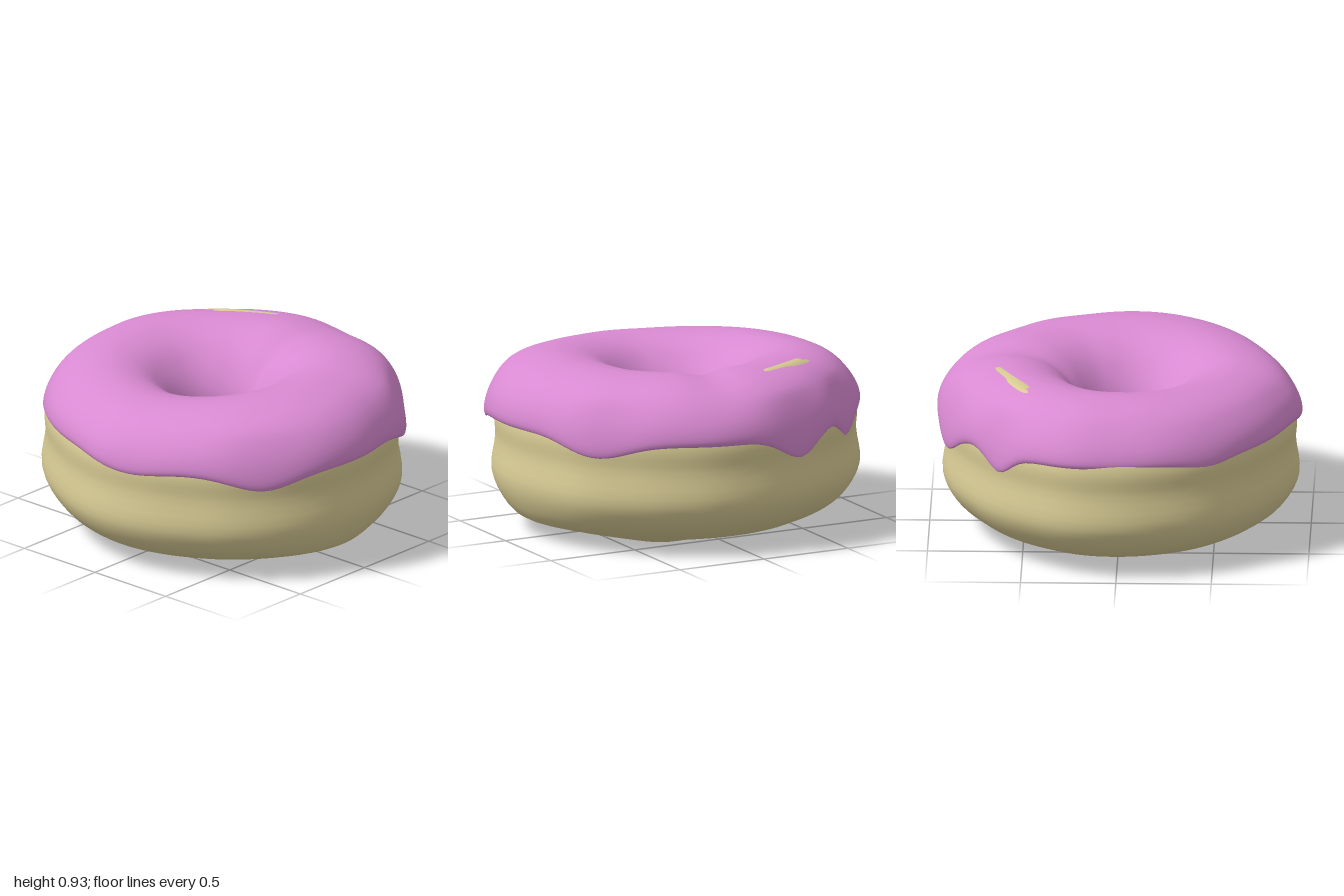
import * as THREE from 'three';

const SIDES = 144, STEPS = 64, HOLE = 0.2;
const rad = THREE.MathUtils.degToRad;
const clamp = THREE.MathUtils.clamp;

// Outer radius every 15 degrees, starting at +x and turning towards +z
const DOUGH_RADII = [
  0.955, 0.96, 0.955, 0.945, 0.93, 0.935, 0.942, 0.935, 0.93, 0.945, 0.97, 0.985,
  1.0, 1.0, 0.97, 0.95, 0.925, 0.93, 0.935, 0.94, 0.935, 0.935, 0.95, 0.945,
];
const ICING_RADII = [
  0.99, 1.0, 0.99, 0.975, 0.953, 0.95, 0.953, 0.922, 0.924, 0.938, 0.957, 0.965,
  0.97, 0.99, 0.972, 0.937, 0.944, 0.954, 0.96, 0.97, 0.96, 0.95, 0.973, 0.964,
];

// Smooth periodic lookup in a list of radii
function radiusAt(list, angle) {
  const n = list.length, f = (angle / (Math.PI * 2)) * n, i = Math.floor(f), t = f - i;
  const [a, b, c, d] = [-1, 0, 1, 2].map((k) => list[(i + k + n) % n]);
  return b + 0.5 * t * (c - a + t * (2 * a - 5 * b + 4 * c - d + t * (3 * (b - c) + d - a)));
}

// Bump around an angle, in degrees
function bump(angle, centre, width) {
  let d = angle - rad(centre);
  d = Math.atan2(Math.sin(d), Math.cos(d)) / rad(width);
  return Math.exp(-d * d);
}

// Uneven top: a gentle tilt, a shallow valley and a fuller shoulder on one side
function topOffset(angle, t) {
  return 0.025 * Math.cos(angle - rad(322)) + 0.008 * Math.sin(3 * angle + 0.5)
    - 0.025 * bump(angle, 280, 12) + 0.25 * t * t * (1 - t) * bump(angle, 195, 45);
}

// Dripping lower rim of the icing
function drip(angle) {
  return 0.075 * bump(angle, 35, 13) + 0.035 * bump(angle, 80, 14) + 0.03 * bump(angle, 150, 10)
    + 0.11 * bump(angle, 222, 8) + 0.12 * bump(angle, 253, 11) + 0.08 * bump(angle, 323, 14);
}

// Sweeps a profile of [t, y] (t: 0 = hole, 1 = outer edge) around the axis
function ring(profile, closed, radii, shape) {
  const curve = new THREE.CatmullRomCurve3(profile.map(([t, y]) => new THREE.Vector3(t, y, 0)), closed, 'centripetal');
  const samples = curve.getPoints(STEPS);
  if (closed) samples.pop();
  const rows = samples.length, pos = [], index = [];
  for (let i = 0; i < SIDES; i++) {
    const angle = (i / SIDES) * Math.PI * 2, outer = radiusAt(radii, angle);
    for (const s of samples) {
      const r = HOLE + (outer - HOLE) * s.x, shift = clamp(1 - s.x, 0, 1);
      const x = Math.cos(angle) * r - 0.01 * shift, z = Math.sin(angle) * r + 0.02 * shift;
      pos.push(x, shape(s.x, s.y, angle, x, z), z);
    }
  }
  for (let i = 0; i < SIDES; i++) {
    const a = i * rows, b = ((i + 1) % SIDES) * rows;
    for (let j = 0; j < (closed ? rows : rows - 1); j++) {
      const k = (j + 1) % rows;
      index.push(a + j, a + k, b + j, a + k, b + k, b + j);
    }
  }
  const geo = new THREE.BufferGeometry();
  geo.setAttribute('position', new THREE.Float32BufferAttribute(pos, 3));
  geo.setIndex(index);
  geo.computeVertexNormals();
  return geo;
}

function addMesh(group, name, geometry, color) {
  const mesh = new THREE.Mesh(geometry, new THREE.MeshStandardMaterial({ color, side: THREE.DoubleSide }));
  mesh.name = name;
  group.add(mesh);
}

export function createModel() {
  const group = new THREE.Group();
  group.name = 'doughnut';

  // Dough: funnel under the hole, bevelled base, slightly pinched wall, domed top
  const doughProfile = [
    [-0.01, 0.45], [0.05, 0.25], [0.17, 0.13], [0.37, 0.055], [0.57, 0.047], [0.75, 0.085],
    [0.91, 0.17], [0.995, 0.29], [0.97, 0.47], [0.975, 0.6],
    [0.9, 0.73], [0.7, 0.835], [0.45, 0.865], [0.22, 0.81], [0.07, 0.7], [0, 0.58],
  ];
  addMesh(group, 'dough', ring(doughProfile, true, DOUGH_RADII, (t, y, angle, x, z) => {
    // flattened crest showing through the icing
    const along = (x + 0.36) * 0.88 - (z + 0.58) * 0.47, across = (x + 0.36) * 0.47 + (z + 0.58) * 0.88;
    const crest = Math.min(0.053, 0.08 * Math.exp(-((along / 0.32) ** 2) - (across / 0.07) ** 2));
    // small lump under the base and a squarer lower corner on one side
    const lump = 0.05 * Math.exp(-(((x - 0.22) / 0.22) ** 2) - ((z + 0.38) / 0.13) ** 2);
    const corner = 0.045 * bump(angle, 0, 28) * clamp((t - 0.65) / 0.25, 0, 1);
    const high = clamp((y - 0.6) / 0.2, 0, 1), low = clamp((0.3 - y) / 0.15, 0, 1);
    return Math.max(0, y + high * (topOffset(angle, t) + crest) - low * (lump + corner));
  }), 0xd8cb94);

  // Icing: thin shell over the top with a rim tucked under at both edges
  const icingProfile = [
    [0.95, 0.64], [0.985, 0.61], [1.0, 0.635], [0.985, 0.7], [0.93, 0.775], [0.83, 0.845], [0.68, 0.89],
    [0.47, 0.905], [0.27, 0.865], [0.13, 0.78], [0.035, 0.67], [0, 0.58], [0.005, 0.53], [-0.02, 0.52],
  ];
  addMesh(group, 'icing', ring(icingProfile, false, ICING_RADII, (t, y, angle) => {
    const high = clamp((y - 0.6) / 0.2, 0, 1);
    const rim = t > 0.7 ? clamp((0.82 - y) / 0.2, 0, 1) : 0;
    return y + high * topOffset(angle, t) - rim * (drip(angle) - 0.01);
  }), 0xd98ad2);

  return group;
}
